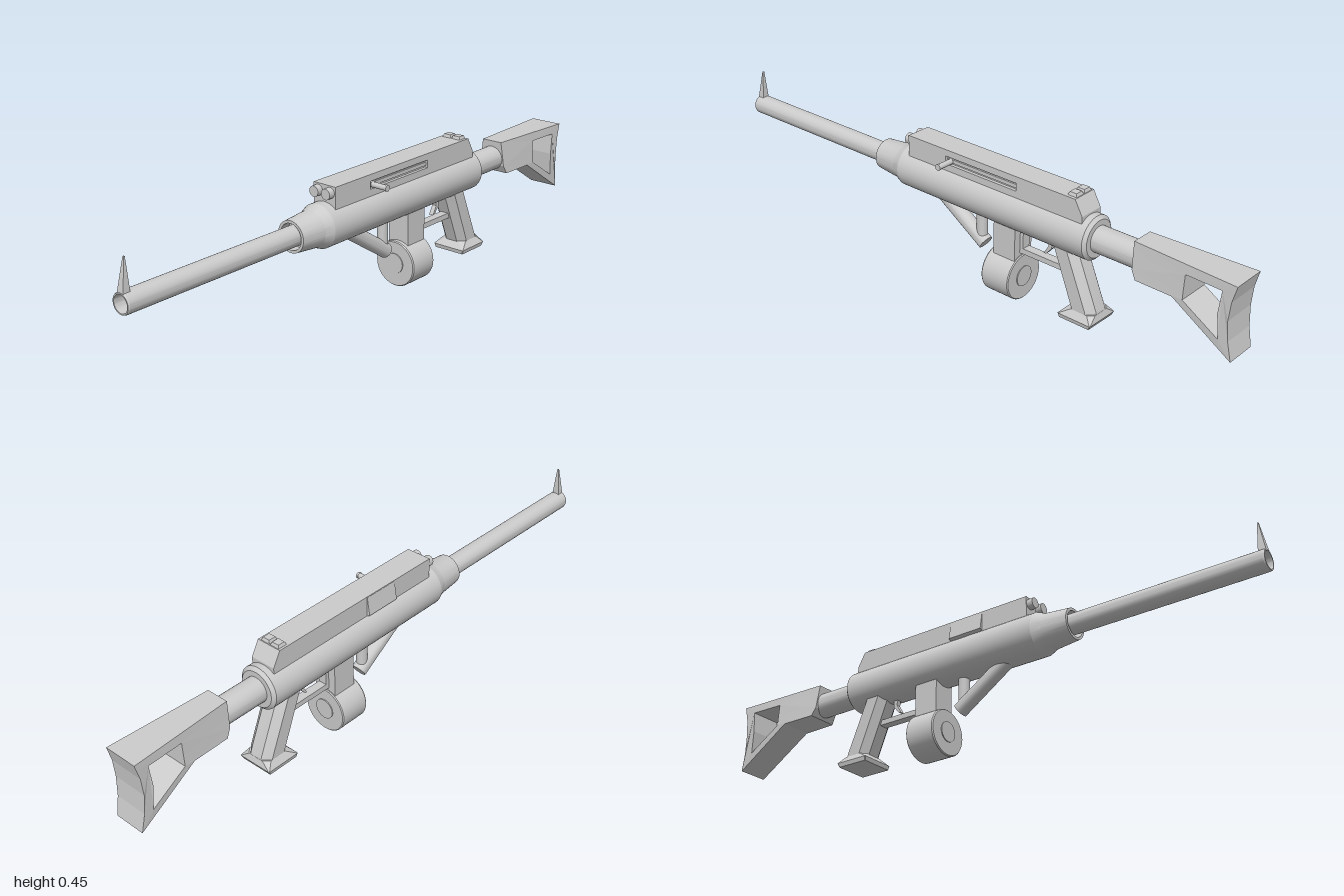
import * as THREE from 'three';
import { toCreasedNormals } from 'three/addons/utils/BufferGeometryUtils.js';

const CX = -0.0125; // centre plane
const AXIS_Y = 0.313; // bore axis height

export function createModel() {
  const root = new THREE.Group();
  const mat = new THREE.MeshStandardMaterial({ color: 0xcccccc, roughness: 0.7 });

  const add = (name, geo, x = CX, y = 0, z = 0, crease = 0.3) => {
    const mesh = new THREE.Mesh(toCreasedNormals(geo, crease), mat);
    mesh.name = name;
    mesh.position.set(x, y, z);
    root.add(mesh);
    return mesh;
  };
  // Turned part along z; points are [z, radius] with the outside running forward
  const turned = (pts, sides = 32) =>
    new THREE.LatheGeometry(pts.map(([z, r]) => new THREE.Vector2(r, z)), sides).rotateX(Math.PI / 2);
  // Side profile of [z, y] points, extruded across x from x0 to x1;
  // the outline is wound counter-clockwise so that hole walls face inward
  const profile = (pts, x0, x1, hole) => {
    const flip = (list) => list.map(([z, y]) => new THREE.Vector2(-z, y)).reverse();
    const shape = new THREE.Shape(flip(pts));
    if (hole) shape.holes.push(new THREE.Path(flip(hole)));
    return new THREE.ExtrudeGeometry(shape, { depth: x1 - x0, bevelEnabled: false })
      .rotateY(Math.PI / 2).translate(x0, 0, 0);
  };
  // Round bar between two points in the centre plane, given as [z, y]
  const bar = (name, a, b, r) => {
    const d = new THREE.Vector3(0, b[1] - a[1], b[0] - a[0]);
    const mesh = add(name, new THREE.CylinderGeometry(r, r, d.length(), 24),
      CX, (a[1] + b[1]) / 2, (a[0] + b[0]) / 2);
    mesh.quaternion.setFromUnitVectors(new THREE.Vector3(0, 1, 0), d.normalize());
  };
  // Chamfered-rectangle column, lofted upward through { y, z0 (front), z1 (back), w, c }
  const column = (sections) => {
    const pos = [], idx = [], n = 8;
    for (const { y, z0, z1, w, c } of sections) {
      const ring = [[w, z0 - c], [w - c, z0], [c - w, z0], [-w, z0 - c],
        [-w, z1 + c], [c - w, z1], [w - c, z1], [w, z1 + c]];
      for (const [x, z] of ring) pos.push(x, y, z);
    }
    for (let s = 0; s < sections.length - 1; s++) {
      for (let i = 0; i < n; i++) {
        const a = s * n + i, b = s * n + (i + 1) % n;
        idx.push(a, a + n, b, b, a + n, b + n);
      }
    }
    const top = (sections.length - 1) * n;
    for (let i = 1; i < n - 1; i++) idx.push(0, i, i + 1, top, top + i + 1, top + i);
    const g = new THREE.BufferGeometry();
    g.setAttribute('position', new THREE.Float32BufferAttribute(pos, 3));
    g.setIndex(idx);
    return g;
  };

  // Barrel with open muzzle
  add('barrel', turned([[0.3, 0.033], [0.995, 0.033], [1, 0.031], [1, 0.027], [0.88, 0.027], [0.88, 0]]), CX, AXIS_Y);

  // Front sight: a blade tapering to the rear of its base
  const sight = new THREE.BoxGeometry(0.025, 0.1, 0.025);
  const sp = sight.attributes.position;
  for (let i = 0; i < sp.count; i++) {
    if (sp.getY(i) > 0) {
      sp.setX(i, sp.getX(i) * 0.2);
      sp.setZ(i, sp.getZ(i) > 0 ? -0.007 : -0.0105);
    }
  }
  add('frontSight', sight, CX, 0.39, 0.987);

  // Receiver tube with a shouldered, hollow nose and a flat rear cap
  add('receiver', turned([
    [-0.508, 0], [-0.508, 0.06], [-0.502, 0.066], [-0.498, 0.071],
    [0.245, 0.071], [0.275, 0.059], [0.363, 0.051], [0.363, 0.042], [0.33, 0.042], [0.33, 0],
  ], 40), CX, AXIS_Y);
  add('bufferTube', turned([[-0.69, 0], [-0.69, 0.042], [-0.48, 0.042], [-0.48, 0]]), CX, AXIS_Y);

  // Upper housing: solid core plus a right-hand wall pierced by the handle slot
  const housing = [[0.215, 0.32], [0.215, 0.438], [-0.45, 0.438], [-0.477, 0.39], [-0.477, 0.32]];
  const slot = [[0.055, 0.39], [0.055, 0.416], [-0.23, 0.416], [-0.23, 0.39]];
  add('upperHousing', profile(housing, -0.055, 0.022), 0);
  add('slottedWall', profile(housing, 0.022, 0.033, slot), 0);
  add('boltBar', new THREE.BoxGeometry(0.008, 0.012, 0.28), 0.024, 0.403, -0.088);

  // Charging handle
  add('chargingHandle', new THREE.CylinderGeometry(0.009, 0.009, 0.064, 24).rotateZ(Math.PI / 2), 0.051, 0.401, 0.038);
  add('handleKnob', new THREE.CylinderGeometry(0.0105, 0.0105, 0.007, 24).rotateZ(Math.PI / 2), 0.0845, 0.401, 0.038);

  // Port cover, sloping outward on the other side
  const cover = new THREE.Shape([[-0.05, 0.436], [-0.056, 0.436], [-0.066, 0.375], [-0.05, 0.365]]
    .map(([x, y]) => new THREE.Vector2(x, y)));
  add('portCover', new THREE.ExtrudeGeometry(cover, { depth: 0.125, bevelEnabled: false }), 0, 0, -0.08);

  // Paired front plugs and rear sight blocks
  for (const s of [-1, 1]) {
    add('frontPlug', turned([[0.2, 0], [0.2, 0.0175], [0.236, 0.0175], [0.236, 0]], 24),
      CX + s * 0.0235, 0.416);
    const block = new THREE.CylinderGeometry(0.7, 1, 1, 4, 1).rotateY(Math.PI / 4)
      .scale(0.0255, 0.014, 0.025);
    add('rearSightBlock', block, CX + s * 0.0185, 0.441, -0.431);
  }

  // Skeleton stock, widest at the butt and around mid height
  const stock = profile(
    [[-0.655, 0.375], [-1, 0.372], [-0.987, 0.32], [-0.982, 0.26], [-0.987, 0.195], [-1, 0.133],
      [-0.8, 0.262], [-0.675, 0.262], [-0.66, 0.29]], -1, 1,
    [[-0.835, 0.343], [-0.955, 0.343], [-0.948, 0.27], [-0.955, 0.19], [-0.835, 0.265]]);
  const kp = stock.attributes.position;
  const { lerp, clamp } = THREE.MathUtils;
  for (let i = 0; i < kp.count; i++) {
    const t = clamp((-kp.getZ(i) - 0.655) / 0.33, 0, 1);
    const low = clamp((0.375 - kp.getY(i)) / 0.11, 0, 1);
    const foot = clamp((0.262 - kp.getY(i)) / 0.127, 0, 1);
    kp.setX(i, kp.getX(i) * (lerp(0.038 + 0.014 * low, 0.057 + 0.002 * low, t) - 0.006 * foot));
  }
  stock.computeVertexNormals();
  add('stock', stock, CX, 0, 0, 0.05);

  // Slanted foregrip and its strut
  bar('foregrip', [0.135, 0.277], [-0.073, 0.14], 0.025);
  bar('foregripStrut', [-0.058, 0.28], [-0.058, 0.16], 0.018);

  // Magazine well and drum
  add('magazineWell', new THREE.BoxGeometry(0.08, 0.15, 0.085), CX, 0.2, -0.182);
  add('drumMagazine', turned([
    [-0.23, 0], [-0.23, 0.075], [-0.227, 0.078], [-0.126, 0.078], [-0.122, 0.075], [-0.122, 0],
  ], 40), CX, 0.078, 0);
  add('drumHub', turned([[-0.233, 0], [-0.233, 0.034], [-0.119, 0.034], [-0.119, 0]]), CX, 0.08, 0);

  // Trigger group
  add('triggerGuard', new THREE.BoxGeometry(0.03, 0.018, 0.18), CX, 0.175, -0.305);
  add('guardPost', new THREE.BoxGeometry(0.03, 0.09, 0.012), CX, 0.21, -0.231);
  add('trigger', profile(
    [[-0.325, 0.26], [-0.345, 0.26], [-0.342, 0.22], [-0.322, 0.197], [-0.312, 0.195], [-0.33, 0.225]],
    -0.008, 0.008));

  // Raked pistol grip with flared foot
  add('pistolGrip', column([
    { y: 0.055, z0: -0.437, z1: -0.532, w: 0.046, c: 0.024 },
    { y: 0.08, z0: -0.428, z1: -0.527, w: 0.046, c: 0.024 },
    { y: 0.27, z0: -0.352, z1: -0.447, w: 0.046, c: 0.024 },
  ]));
  add('gripFoot', column([
    { y: 0.036, z0: -0.416, z1: -0.528, w: 0.058, c: 0.002 },
    { y: 0.05, z0: -0.413, z1: -0.535, w: 0.061, c: 0.002 },
    { y: 0.072, z0: -0.433, z1: -0.529, w: 0.046, c: 0.018 },
  ]));

  return root;
}
